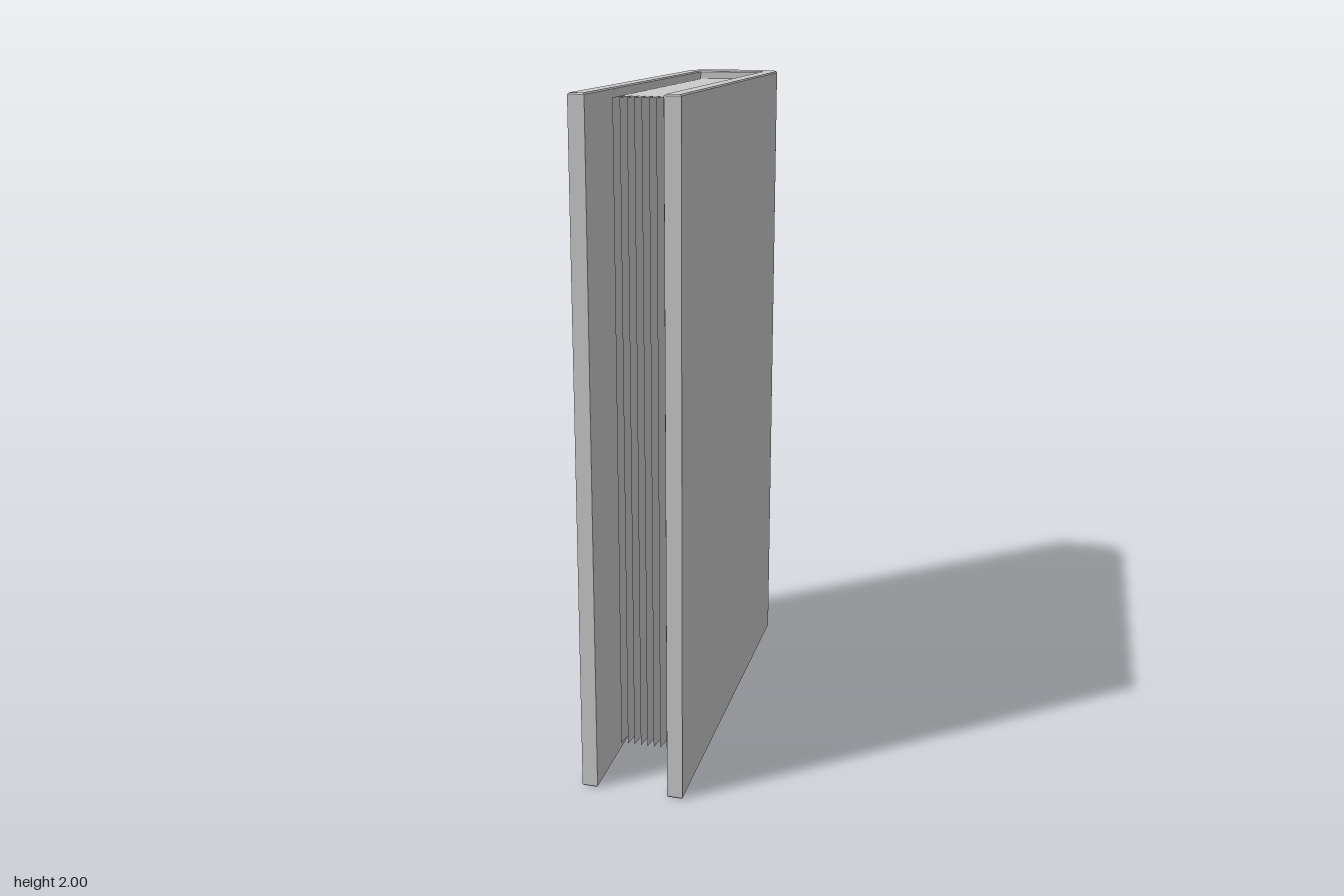
import * as THREE from 'three';
import { toCreasedNormals } from 'three/addons/utils/BufferGeometryUtils.js';

const grey = new THREE.MeshStandardMaterial({ color: 0xcccccc });

// Extrude a floor-plan outline (x, -z) upwards from y0 to y1.
function upright(name, shape, y0, y1, bevel, crease) {
  let geo = new THREE.ExtrudeGeometry(shape, {
    depth: y1 - y0 - 2 * bevel,
    curveSegments: 8,
    bevelEnabled: bevel > 0,
    bevelThickness: bevel,
    bevelSize: bevel,
    bevelOffset: -bevel,
    bevelSegments: 1,
  });
  geo.rotateX(-Math.PI / 2);
  geo.translate(0, y0 + bevel, 0);
  if (crease) geo = toCreasedNormals(geo, crease);
  const mesh = new THREE.Mesh(geo, grey);
  mesh.name = name;
  return mesh;
}

// U-shaped cover: two boards joined by a spine with rounded corners
function makeCover() {
  const w = 0.152, inner = 0.106, end = 0.66, hinge = 0.56, flat = 0.075;
  const s = new THREE.Shape();
  s.moveTo(w, -end);
  s.lineTo(w, hinge);
  s.absellipse(flat, hinge, w - flat, end - hinge, 0, Math.PI / 2, false, 0);
  s.lineTo(-flat, end);
  s.absellipse(-flat, hinge, w - flat, end - hinge, Math.PI / 2, Math.PI, false, 0);
  s.lineTo(-w, -end);
  s.lineTo(-inner, -end);
  s.lineTo(-inner, hinge);
  s.lineTo(inner, hinge);
  s.lineTo(inner, -end);
  s.closePath();
  return upright('cover', s, 0, 2, 0.004, 0.5);
}

// Page block whose fore-edge is a row of sharp sheet tips
function makePages() {
  const x0 = -0.1, x1 = 0.106, back = -0.56, valley = 0.355, tip = 0.44, sheets = 10;
  const step = (x1 - x0) / sheets;
  const s = new THREE.Shape();
  s.moveTo(x1, -back);
  s.lineTo(x0, -back);
  s.lineTo(x0, -tip);
  for (let i = 0; i < sheets; i++) {
    s.lineTo(x0 + (i + 0.5) * step, -valley);
    s.lineTo(x0 + (i + 1) * step, -tip);
  }
  s.closePath();
  return upright('pages', s, 0.028, 1.975, 0, 0);
}

export function createModel() {
  const book = new THREE.Group();
  book.name = 'book';
  book.add(makeCover(), makePages());
  return book;
}
